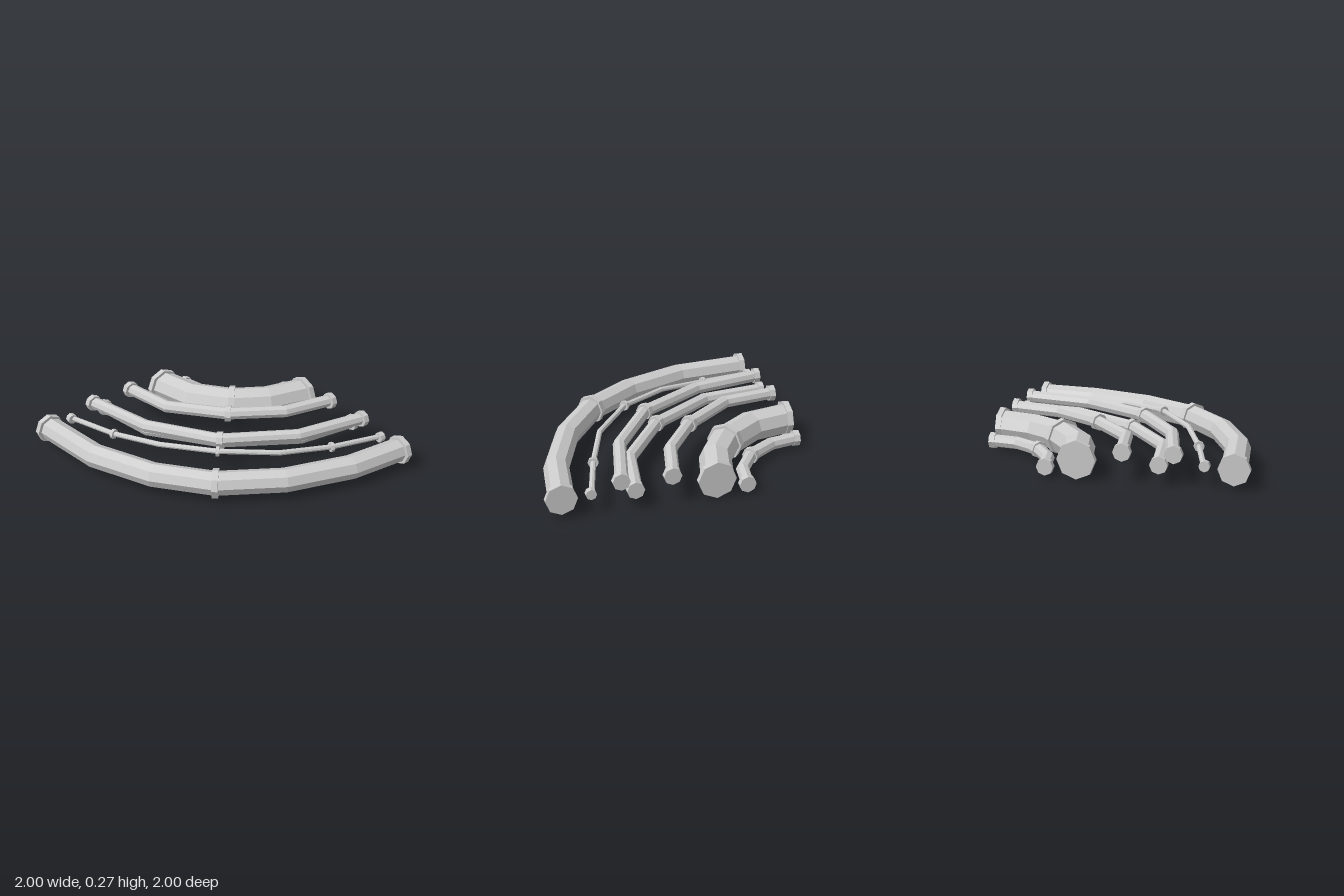
import * as THREE from 'three';

const SIDES = 8;
const UP = new THREE.Vector3(0, 1, 0);
const material = new THREE.MeshStandardMaterial({ color: 0xcccccc, flatShading: true });

// Direction from a to b, kept level
const level = (a, b) => b.clone().sub(a).setY(0).normalize();

// Direction of the joint plane at each path point; both ends meet their wall squarely
function jointDirections(points) {
  const last = points.length - 1;
  return points.map((p, i) => {
    if (i === 0) return new THREE.Vector3(0, 0, 1);
    if (i === last) return new THREE.Vector3(1, 0, 0);
    return level(points[i - 1], p).add(level(p, points[i + 1])).normalize();
  });
}

// Closed octagonal tube with mitred joints
function sweep(points, directions, radius) {
  const last = points.length - 1;
  const rings = points.map((p, i) => {
    const along = level(points[Math.max(i - 1, 0)], points[Math.max(i, 1)]);
    const mitre = 1 / along.dot(directions[i]);
    const side = UP.clone().cross(directions[i]);
    return Array.from({ length: SIDES }, (_, j) => {
      const a = (j / SIDES) * Math.PI * 2;
      return p.clone()
        .addScaledVector(side, Math.cos(a) * radius * mitre)
        .addScaledVector(UP, Math.sin(a) * radius);
    });
  });
  const pos = [];
  const tri = (...corners) => corners.forEach((v) => pos.push(v.x, v.y, v.z));
  for (let j = 0; j < SIDES; j++) {
    const k = (j + 1) % SIDES;
    for (let i = 0; i < last; i++) {
      tri(rings[i][j], rings[i][k], rings[i + 1][k]);
      tri(rings[i][j], rings[i + 1][k], rings[i + 1][j]);
    }
    tri(points[0], rings[0][k], rings[0][j]);
    tri(points[last], rings[last][j], rings[last][k]);
  }
  const geometry = new THREE.BufferGeometry();
  geometry.setAttribute('position', new THREE.Float32BufferAttribute(pos, 3));
  geometry.computeVertexNormals();
  return geometry;
}

function addMesh(group, name, geometry) {
  const mesh = new THREE.Mesh(geometry, material);
  mesh.name = name;
  group.add(mesh);
}

// Collar reaching from `back` behind to `front` ahead of a point
function collar(point, direction, radius, back, front) {
  const ends = [-back, front].map((d) => point.clone().addScaledVector(direction, d));
  return sweep(ends, [direction, direction], radius);
}

function makePipe({ name, y, rise = 0, radius, flange, width = 0.045, collars, path }) {
  const group = new THREE.Group();
  group.name = name;
  const last = path.length - 1;
  const points = path.map(([x, z], i) =>
    new THREE.Vector3(x, y + rise * Math.sin((i / last) * Math.PI) ** 2, z));
  const directions = jointDirections(points);
  addMesh(group, 'pipeBody', sweep(points, directions, radius));
  addMesh(group, 'backFlange', collar(points[0], directions[0], flange, 0, 0.043));
  addMesh(group, 'sideFlange', collar(points[last], directions[last], flange, 0.043, 0));
  collars.forEach((i) =>
    addMesh(group, 'jointCollar', collar(points[i], directions[i], flange, width / 2, width / 2)));
  return group;
}

// Bends listed as [x, z], from the back edge to the right-hand edge
const PIPES = [
  { name: 'outerLargePipe', y: 0.14, radius: 0.09, flange: 0.11, collars: [3],
    path: [[-0.887, -1], [-0.83, -0.44], [-0.64, 0.025], [-0.358, 0.39], [0.055, 0.665], [0.54, 0.835], [1, 0.888]] },
  { name: 'thinPipe', y: 0.15, rise: 0.075, radius: 0.02, flange: 0.038, width: 0.025, collars: [1, 3, 5],
    path: [[-0.69, -1], [-0.578, -0.567], [-0.43, -0.187], [-0.17, 0.176], [0.19, 0.45], [0.578, 0.583], [1, 0.688]] },
  { name: 'upperPairPipe', y: 0.215, radius: 0.047, flange: 0.062, collars: [2],
    path: [[-0.485, -1], [-0.365, -0.447], [-0.05, 0.05], [0.447, 0.365], [1, 0.483]] },
  { name: 'lowerPairPipe', y: 0.138, radius: 0.047, flange: 0.062, collars: [2],
    path: [[-0.385, -1], [-0.315, -0.5], [0.02, -0.02], [0.52, 0.31], [1, 0.385]] },
  { name: 'middlePipe', y: 0.21, radius: 0.047, flange: 0.063, collars: [2],
    path: [[-0.135, -1], [-0.067, -0.583], [0.235, -0.21], [0.6, 0.037], [1, 0.13]] },
  { name: 'innerLargePipe', y: 0.138, radius: 0.115, flange: 0.135, collars: [2],
    path: [[0.18, -1], [0.25, -0.68], [0.444, -0.42], [0.684, -0.267], [1, -0.183]] },
  { name: 'innermostPipe', y: 0.075, radius: 0.047, flange: 0.06, collars: [2],
    path: [[0.4, -1], [0.446, -0.773], [0.58, -0.57], [0.775, -0.44], [1, -0.403]] },
];

export function createModel() {
  const model = new THREE.Group();
  model.name = 'curvedPipes';
  PIPES.forEach((pipe) => model.add(makePipe(pipe)));
  return model;
}
